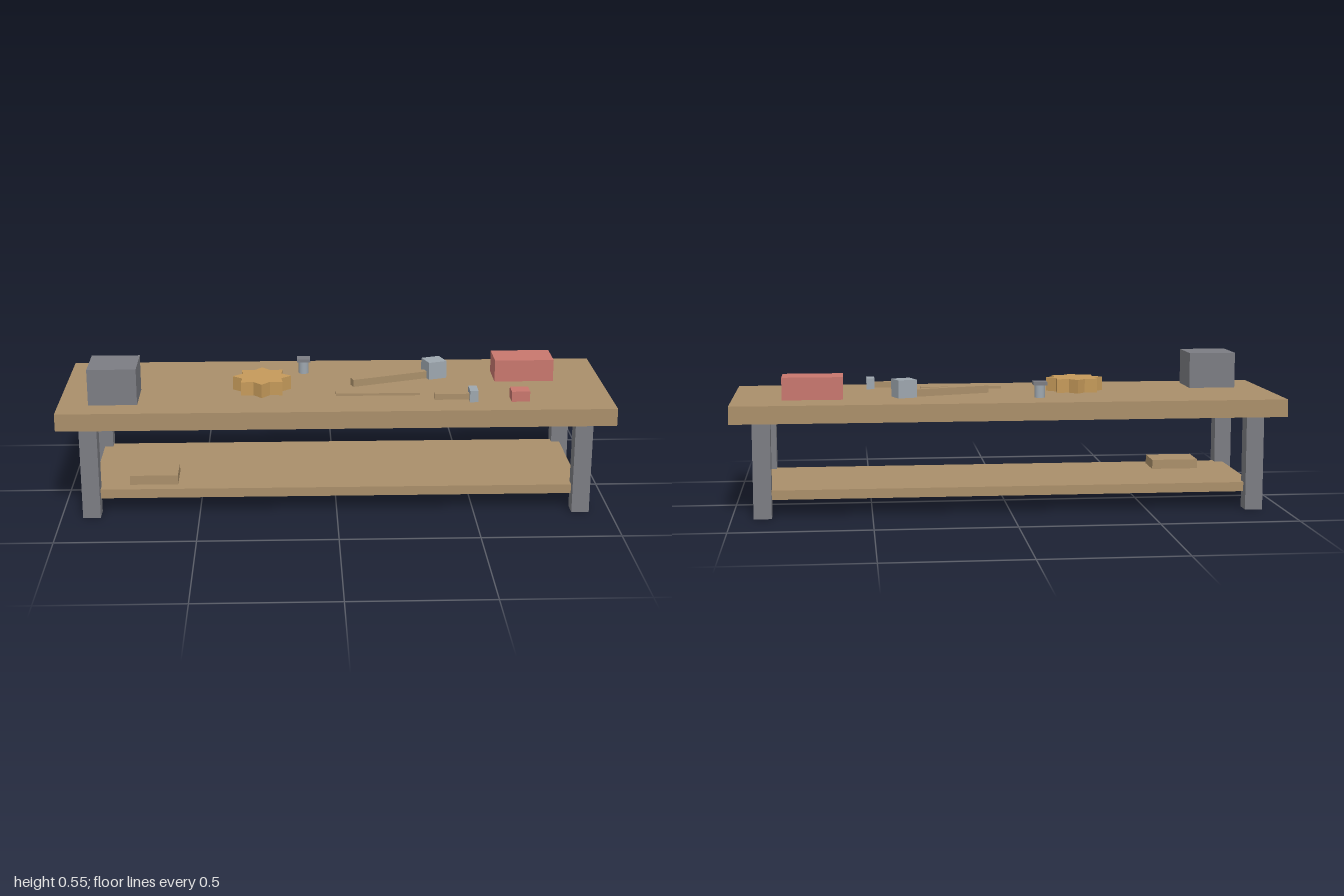
import * as THREE from 'three';

export function createModel() {
  const root = new THREE.Group();
  root.name = 'workbench';

  const material = (name, color) => {
    const m = new THREE.MeshStandardMaterial({ color });
    m.name = name;
    return m;
  };
  const wood = material('wood', 0xaa8f6a);
  const darkMetal = material('dark metal', 0x7c7d83);
  const steel = material('steel', 0x9ea7af);
  const red = material('red paint', 0xc8776e);
  const brass = material('brass', 0xc59a5a);

  const add = (name, geometry, mat, x = 0, y = 0, z = 0, parent = root) => {
    const mesh = new THREE.Mesh(geometry, mat);
    mesh.name = name;
    mesh.position.set(x, y, z);
    parent.add(mesh);
    return mesh;
  };
  // Box given by its limits on each axis
  const box = (name, mat, [x0, x1], [y0, y1], [z0, z1], parent = root) =>
    add(name, new THREE.BoxGeometry(x1 - x0, y1 - y0, z1 - z0), mat,
      (x0 + x1) / 2, (y0 + y1) / 2, (z0 + z1) / 2, parent);

  const top = 0.409;

  // Bench: top, lower shelf and four legs
  box('benchTop', wood, [-1, 1], [0.345, top], [-0.31, 0.31]);
  box('lowerShelf', wood, [-0.89, 0.89], [0.063, 0.097], [-0.245, 0.245]);
  for (const sx of [-1, 1]) {
    for (const sz of [-1, 1]) {
      add('leg', new THREE.BoxGeometry(0.064, 0.345, 0.064), darkMetal, sx * 0.89, 0.1725, sz * 0.245);
    }
  }

  // Boxes and blocks
  box('metalBlock', darkMetal, [-0.89, -0.715], [0.412, 0.545], [0.046, 0.222]);
  box('redBox', red, [0.6, 0.82], [top, 0.491], [-0.155, -0.023]);
  box('smallRedBox', red, [0.632, 0.698], [top, 0.447], [0.157, 0.218]);
  box('shelfBlock', wood, [-0.755, -0.58], [0.097, 0.132], [0.068, 0.2]);
  box('woodenStick', wood, [0, 0.306], [0.411, 0.42], [0.113, 0.138]);

  // Eight-pointed gear lying flat
  const points = [];
  for (let i = 0; i < 16; i++) {
    const r = i % 2 ? 0.078 : 0.107, a = (i * Math.PI) / 8;
    points.push(new THREE.Vector2(r * Math.cos(a), r * Math.sin(a)));
  }
  const gear = new THREE.ExtrudeGeometry(new THREE.Shape(points), { depth: 0.051, bevelEnabled: false });
  gear.rotateX(-Math.PI / 2);
  add('gear', gear, brass, -0.27, top, 0.042);

  // Bolt with a flat square head
  add('boltStem', new THREE.CylinderGeometry(0.019, 0.019, 0.047, 20), steel, -0.114, 0.4325, -0.158);
  add('boltHead', new THREE.BoxGeometry(0.05, 0.012, 0.05), darkMetal, -0.114, 0.462, -0.158);

  // Large hammer, turned on the bench
  const hammer = new THREE.Group();
  hammer.name = 'largeHammer';
  hammer.position.set(0.378, 0, -0.098);
  hammer.rotation.y = 0.34;
  root.add(hammer);
  box('hammerHandle', wood, [-0.333, 0], [top, 0.436], [-0.014, 0.014], hammer);
  box('hammerHead', steel, [-0.036, 0.036], [top, 0.475], [-0.036, 0.036], hammer);

  // Small hammer
  box('smallHammerHandle', wood, [0.355, 0.49], [0.412, 0.434], [0.175, 0.196]);
  box('smallHammerHead', steel, [0.481, 0.511], [top, 0.451], [0.152, 0.219]);

  return root;
}
